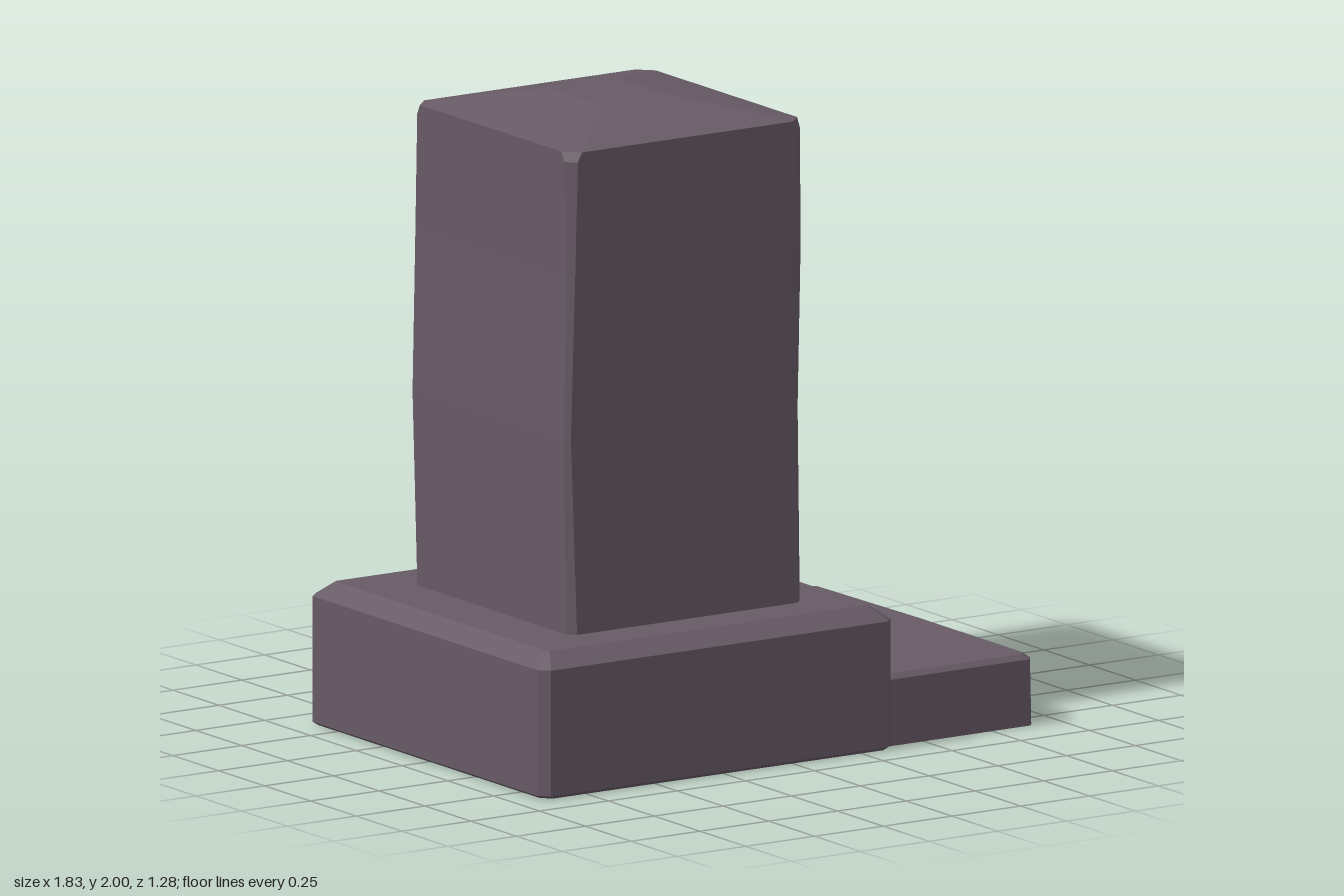
import * as THREE from 'three';

// Rectangle with cut corners, as [x, y, z] points at one height
function ring(y, x0, x1, z0, z1, c) {
  return [
    [x1, z0 + c], [x1, z1 - c], [x1 - c, z1], [x0 + c, z1],
    [x0, z1 - c], [x0, z0 + c], [x0 + c, z0], [x1 - c, z0],
  ].map(([x, z]) => [x, y, z]);
}

// Skin over a stack of rings, closed at both ends, with flat facets
function loft(name, rings, material) {
  const pos = [];
  const tri = (a, b, c) => pos.push(...a, ...b, ...c);
  const n = rings[0].length;
  for (let r = 0; r < rings.length - 1; r++) {
    for (let i = 0; i < n; i++) {
      const j = (i + 1) % n;
      const lo = rings[r], hi = rings[r + 1];
      tri(lo[i], hi[i], lo[j]);
      tri(lo[j], hi[i], hi[j]);
    }
  }
  const bottom = rings[0], top = rings[rings.length - 1];
  for (let i = 1; i < n - 1; i++) {
    tri(bottom[0], bottom[i], bottom[i + 1]);
    tri(top[0], top[i + 1], top[i]);
  }
  const geo = new THREE.BufferGeometry();
  geo.setAttribute('position', new THREE.Float32BufferAttribute(pos, 3));
  geo.computeVertexNormals();
  const mesh = new THREE.Mesh(geo, material);
  mesh.name = name;
  return mesh;
}

export function createModel() {
  const model = new THREE.Group();
  model.name = 'stonePillar';
  const stone = new THREE.MeshStandardMaterial({ color: 0x685b66, flatShading: true });
  stone.name = 'stone';

  // Square plinth with bevelled top edge
  model.add(loft('plinth', [
    ring(0, -0.9, 0.36, -0.635, 0.63, 0.03),
    ring(0.01, -0.915, 0.37, -0.645, 0.64, 0.03),
    ring(0.4, -0.915, 0.37, -0.645, 0.64, 0.03),
    ring(0.445, -0.855, 0.31, -0.585, 0.58, 0.005),
  ], stone));

  // Slightly uneven shaft with a shallow hipped top
  model.add(loft('shaft', [
    ring(0.4, -0.68, 0.17, -0.42, 0.44, 0.025),
    ring(1.05, -0.692, 0.157, -0.42, 0.437, 0.015),
    ring(1.55, -0.685, 0.168, -0.42, 0.442, 0.02),
    ring(1.91, -0.685, 0.172, -0.42, 0.442, 0.03),
    ring(1.94, -0.685, 0.172, -0.42, 0.442, 0.045),
    ring(2, -0.38, -0.13, -0.14, 0.15, 0.01),
  ], stone));

  // Low step on the left side, its outer edge bowed and worn
  const stepRing = (y, inset) => [
    [0.895, -0.57], [0.91, 0], [0.908, 0.57], [0.89, 0.593],
    [0.25, 0.597], [0.25, -0.597], [0.87, -0.59],
  ].map(([x, z]) => [x > 0.3 ? x - inset : x, y, z - Math.sign(z) * inset]);
  model.add(loft('step', [
    stepRing(0, 0), stepRing(0.205, 0.003), stepRing(0.22, 0.02),
  ], stone));

  return model;
}
